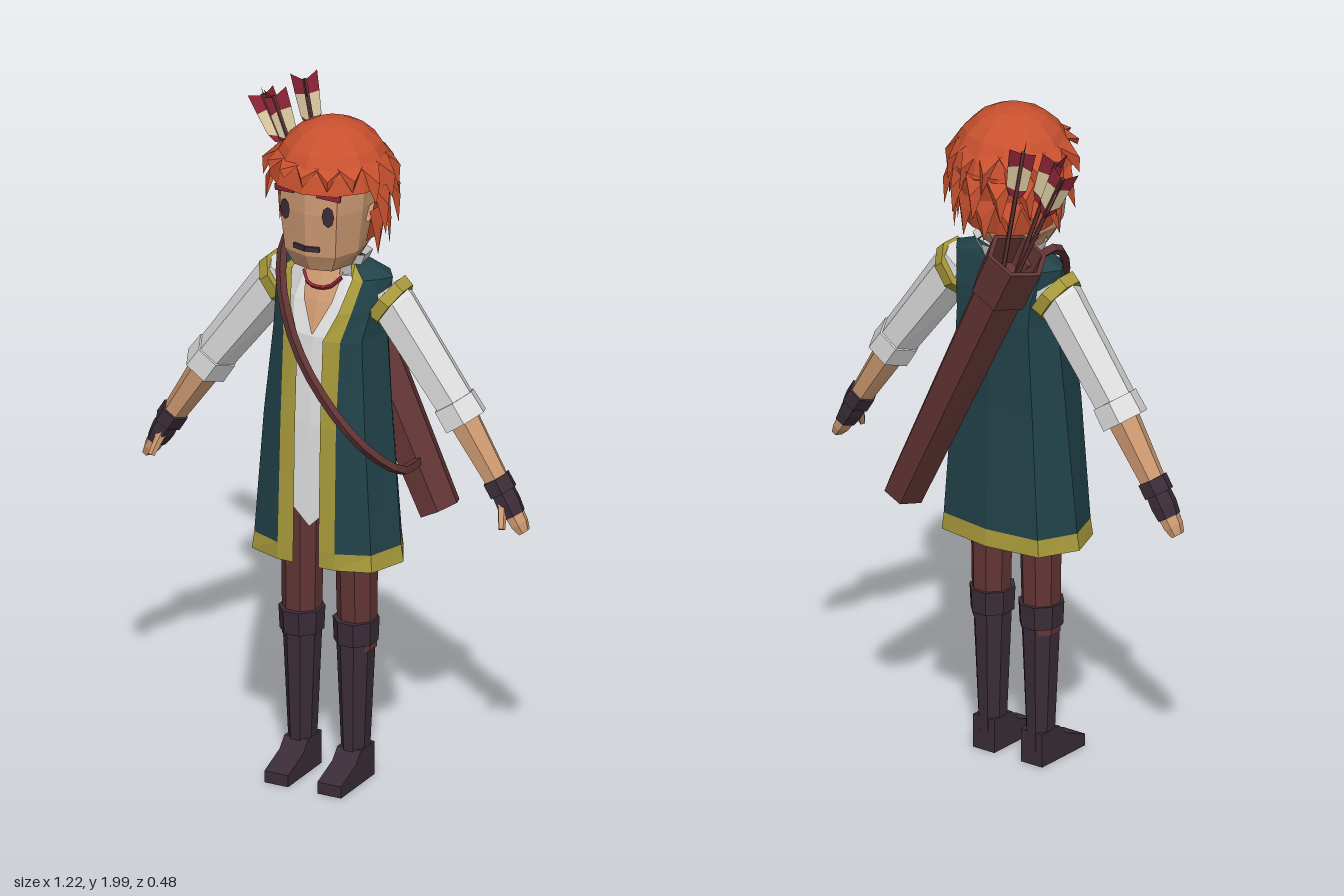
import * as THREE from 'three';

const V = (p) => new THREE.Vector3(...p);
const material = (name, color, double) => {
  const m = new THREE.MeshStandardMaterial({ color });
  m.name = name;
  if (double) m.side = THREE.DoubleSide;
  return m;
};

// faceted geometry from a flat list of triangle corners
function fromCorners(corners) {
  const g = new THREE.BufferGeometry().setFromPoints(corners);
  g.computeVertexNormals();
  return g;
}
const flat = (g) => {
  const f = g.index ? g.toNonIndexed() : g;
  f.computeVertexNormals();
  return f;
};

// skin rings of points together, bottom to top; pick(row, column) selects quads
function loft(rings, { closed = true, cap = true, pick = () => true } = {}) {
  const out = [], n = rings[0].length;
  for (let i = 0; i < rings.length - 1; i++)
    for (let j = 0; j < (closed ? n : n - 1); j++) {
      if (!pick(i, j)) continue;
      const k = (j + 1) % n;
      const [a, b, c, d] = [rings[i][j], rings[i][k], rings[i + 1][k], rings[i + 1][j]];
      out.push(a, b, c, a, c, d);
    }
  if (closed && cap)
    for (const [ring, up] of [[rings[0], false], [rings[rings.length - 1], true]]) {
      const mid = ring.reduce((s, p) => s.add(p), new THREE.Vector3()).divideScalar(n);
      ring.forEach((p, j) => {
        const q = ring[(j + 1) % n];
        out.push(mid, ...(up ? [p, q] : [q, p]));
      });
    }
  return fromCorners(out);
}

// mirror a half cross-section [x, z, y?] running from front to back
function mirrorRing(y, half) {
  const left = half.map(([x, z, yy]) => V([x, yy ?? y, z]));
  const right = left.filter((p) => p.x > 0).reverse().map((p) => V([-p.x, p.y, p.z]));
  return [...left, ...right];
}

// tapered prism from p to q; stations are [t, rx, rz]
function limb(p, q, stations, n = 6, phase = Math.PI / n) {
  const a = V(p), dir = V(q).sub(a), len = dir.length();
  const rings = stations.map(([t, rx, rz = rx]) => Array.from({ length: n }, (_, j) => {
    const ang = phase + (j / n) * Math.PI * 2;
    return V([Math.sin(ang) * rx, t * len, Math.cos(ang) * rz]);
  }));
  const turn = new THREE.Quaternion().setFromUnitVectors(V([0, 1, 0]), dir.normalize());
  return loft(rings).applyQuaternion(turn).translate(...p);
}

export function createModel() {
  const model = new THREE.Group();
  model.name = 'archer';
  const hair = material('copper hair', 0xc9512f, true);
  const skin = material('skin', 0xcd9a72, true);
  const white = material('shirt white', 0xdedede, true);
  const teal = material('vest teal', 0x21434a, true);
  const gold = material('trim gold', 0xa99b3b, true);
  const brown = material('leather brown', 0x633535);
  const dark = material('boot dark', 0x3b2d38);
  const red = material('feather red', 0x8c2436, true);
  const cream = material('feather cream', 0xdccba3, true);
  const add = (name, geo, mat, parent = model) => {
    const m = new THREE.Mesh(geo, mat);
    m.name = name;
    parent.add(m);
    return m;
  };

  // open vest with trimmed edges
  const vestRings = [
    [0.68, [[.04, .2], [.09, .2], [.19, .165], [.23, .05], [.17, -.06], [0, -.085]]],
    [0.73, [[.04, .2], [.09, .199], [.185, .16], [.222, .05], [.165, -.058], [0, -.08]]],
    [1.10, [[.04, .19], [.088, .186], [.16, .15], [.19, .04], [.14, -.05], [0, -.066]]],
    [1.36, [[.04, .175], [.09, .165], [.14, .13], [.168, .03], [.125, -.05], [0, -.065]]],
    [1.44, [[.075, .15], [.11, .138], [.15, .1], [.172, .03], [.13, -.045], [0, -.06]]],
    [1.53, [[.095, .105], [.125, .095], [.16, .065], [.185, .03], [.15, -.02], [0, -.045]]],
    [1.565, [[.08, .08], [.085, .068], [.09, .05], [.09, .03], [.085, 0], [0, -.03]]],
  ].map(([y, h]) => mirrorRing(y, h));
  // the open seam is at the front, so the last column is the right lapel
  const isTrim = (i, j) => i === 0 || j === 0 || j === 9;
  add('vest', loft(vestRings, { closed: false, pick: (i, j) => !isTrim(i, j) }), teal);
  add('vestTrim', loft(vestRings, { closed: false, pick: isTrim }), gold);

  // shirt with pointed tail, collar and open neck
  add('shirt', loft([
    mirrorRing(.85, [[0, .18, .79], [.06, .18], [.15, .14], [.18, .04], [.13, -.04], [0, -.055]]),
    mirrorRing(1.1, [[0, .175], [.06, .172], [.14, .135], [.165, .04], [.12, -.035], [0, -.05]]),
    mirrorRing(1.36, [[0, .158], [.07, .15], [.12, .115], [.15, .03], [.11, -.035], [0, -.05]]),
    mirrorRing(1.45, [[0, .125], [.08, .118], [.13, .08], [.155, .03], [.11, -.03], [0, -.045]]),
    mirrorRing(1.53, [[0, .085], [.06, .085], [.11, .06], [.15, .03], [.1, -.015], [0, -.03]]),
  ]), white);
  const collarRing = (y, r) => Array.from({ length: 8 }, (_, i) => {
    const a = .6 + (i / 7) * (Math.PI * 2 - 1.2);
    return V([Math.sin(a) * r, y + .012 * Math.cos(a), .035 + Math.cos(a) * r * .8]);
  });
  add('collar', loft([collarRing(1.52, .085), collarRing(1.59, .115)], { closed: false }), white);
  const neckRow = (y, x, z, mid) => [V([-x, y, z]), V([0, y, mid]), V([x, y, z])];
  add('chest', loft([neckRow(1.37, .003, .163, .164), neckRow(1.46, .045, .128, .134),
    neckRow(1.55, .06, .082, .092)], { closed: false }), skin);
  add('neck', limb([0, 1.47, .035], [0, 1.63, .045], [[0, .06], [1, .055]], 8), skin);
  const cord = new THREE.CatmullRomCurve3([[-.06, 1.53, .1], [-.03, 1.503, .125], [.03, 1.503, .125], [.06, 1.53, .1]].map(V));
  add('necklace', flat(new THREE.TubeGeometry(cord, 8, .006, 4)), red);

  // head and face
  add('head', loft([
    mirrorRing(1.57, [[0, .175], [.06, .158], [.085, .09], [.07, 0], [0, -.03]]),
    mirrorRing(1.62, [[0, .2], [.08, .175], [.112, .1], [.1, 0], [0, -.06]]),
    mirrorRing(1.75, [[0, .208], [.09, .185], [.127, .1], [.12, -.02], [0, -.08]]),
    mirrorRing(1.85, [[0, .208], [.09, .18], [.13, .09], [.12, -.03], [0, -.1]]),
    mirrorRing(1.91, [[0, .14], [.06, .13], [.09, .08], [.08, 0], [0, -.05]]),
  ]), skin);
  for (const s of [1, -1]) {
    const eye = add('eye', flat(new THREE.CircleGeometry(1, 8)), dark);
    eye.scale.set(.018, .032, 1);
    eye.position.set(s * .068, 1.75, .196);
    const brow = add('eyebrow', new THREE.BoxGeometry(.07, .018, .009), red);
    brow.position.set(s * .07, 1.812, .195);
    brow.rotation.set(0, s * .27, -s * .15);
    const mouth = add('mouth', new THREE.BoxGeometry(.042, .014, .009), dark);
    mouth.position.set(s * .02, 1.645, .2);
    for (const m of [eye, mouth]) m.rotation.y = s * .26;
    add('ear', limb([s * .115, 1.7, .05], [s * .155, 1.77, .02], [[0, .02, .03], [.5, .016, .028], [1, .003]], 4), skin);
  }

  // hair: faceted cap, back shell and rows of pointed locks
  add('hairCap', flat(new THREE.SphereGeometry(1, 12, 5, 0, Math.PI * 2, 0, 1.45).scale(.178, .185, .183))
    .translate(0, 1.795, .043), hair).name = 'hairCap';
  add('hairBack', flat(new THREE.CylinderGeometry(.172, .125, .19, 10, 1, true, 1.3, Math.PI * 2 - 2.6)
    .translate(0, 1.735, .035)), hair);
  const rows = [
    // yTop, rTop, yTip, rTip, locks, phase, furthest-forward cosine
    [1.89, .152, 1.79, .192, 15, 0, 2],
    [1.83, .17, 1.69, .192, 15, .5, .4],
    [1.75, .162, 1.62, .165, 14, .25, .3],
  ];
  const locks = [];
  rows.forEach(([yTop, rTop, yTip, rTip, n, phase, front]) => {
    for (let i = 0; i < n; i++) {
      const a = ((i + phase) / n) * Math.PI * 2, h = (Math.PI / n) * 1.2, c = Math.cos(a);
      if (c > front) continue;
      const vary = Math.sin(i * 12.9 + yTop * 78) * .5;
      const at = (ang, r, y) => V([Math.sin(ang) * r, y, .043 + Math.cos(ang) * r]);
      const tipY = yTip + vary * .035 + (c > .5 ? .045 : 0);
      const tipR = c > .5 ? .183 : rTip + vary * .012;
      const L = at(a - h, rTop, yTop), R = at(a + h, rTop, yTop);
      const T = at(a + vary * .15, tipR, tipY);
      const P = at(a, Math.max(rTop, tipR) + .004, yTop * .55 + tipY * .45);
      locks.push(L, T, P, T, R, P, R, L, P);
    }
  });
  add('hairLocks', fromCorners(locks), hair);

  // arms, legs
  for (const s of [1, -1]) {
    const side = s > 0 ? 'left' : 'right';
    const z = .022;
    const p = (x, y, zz = z) => [s * x, y, zz];
    add(side + 'Sleeve', limb(p(.155, 1.485), p(.405, 1.15), [[0, .06, .06], [.12, .07, .068], [1, .06, .063]]), white);
    add(side + 'Cuff', limb(p(.375, 1.19), p(.413, 1.135), [[0, .066, .072], [1, .068, .074]]), white);
    add(side + 'ArmholeTrim', limb(p(.158, 1.46), p(.187, 1.44), [[0, .085, .082], [1, .08, .076]], 8), gold);
    add(side + 'Forearm', limb(p(.39, 1.165), p(.535, .94), [[0, .05, .05], [1, .033, .036]]), skin);
    add(side + 'WristBand', limb(p(.508, .982), p(.532, .944), [[0, .042, .047], [1, .042, .047]]), dark);
    add(side + 'Glove', limb(p(.528, .95), p(.568, .882), [[0, .034, .04], [.5, .036, .042], [1, .03, .038]]), dark);
    add(side + 'Fingers', limb(p(.56, .895), p(.598, .835), [[0, .027, .035], [.6, .024, .033], [1, .014, .024]]), skin);
    add(side + 'Thumb', limb(p(.54, .915, .045), p(.556, .855, .078), [[0, .015], [1, .01]], 5), skin);

    add(side + 'Leg', limb(p(.088, .4, .06), p(.085, .86, .06), [[0, .055, .055], [1, .063, .066]], 8), brown);
    add(side + 'Boot', limb(p(.084, .02, .062), p(.085, .45, .062), [[0, .039, .045], [.15, .039, .047], [1, .056, .06]], 8), dark);
    add(side + 'BootCuff', limb(p(.086, .42, .063), p(.086, .49, .063), [[0, .062, .067], [1, .065, .071]], 8), dark);
    const sole = new THREE.Shape([[.02, 0], [.218, 0], [.218, .035], [.13, .068], [.1, .1], [.02, .1]]
      .map(([x, y]) => new THREE.Vector2(x, y)));
    const foot = new THREE.ExtrudeGeometry(sole, { depth: .075, bevelEnabled: false });
    add(side + 'Foot', foot.translate(0, 0, -.0375).rotateY(-Math.PI / 2).translate(s * .084, 0, 0), dark);
  }

  // quiver with hollow rim, and its strap
  add('quiver', limb([.262, .79, -.105], [-.168, 1.635, -.155], [[0, .06, .072], [.85, .076, .084],
    [.85, .086, .092], [1, .09, .094], [1, .075, .079], [.9, .07, .075]]), brown);
  const strap = new THREE.CatmullRomCurve3([[-.15, 1.58, -.1], [-.15, 1.585, .04], [-.1, 1.48, .155], [0, 1.3, .215],
    [.16, 1.1, .21], [.235, .975, .09], [.215, .94, -.06]].map(V));
  add('strap', flat(new THREE.TubeGeometry(strap, 18, .015, 4)), brown);

  // arrows with three-vaned fletching
  const vane = (pts) => new THREE.ShapeGeometry(new THREE.Shape(pts.map((q) => new THREE.Vector2(...q))));
  const creamVane = vane([[0, -.145], [.034, -.125], [.04, -.06], [0, -.06]]);
  const redVane = vane([[0, -.06], [.04, -.06], [.044, 0], [0, -.02]]);
  const redTail = vane([[0, -.17], [.022, -.152], [.034, -.125], [0, -.145]]);
  [
    [[-.13, 1.5, -.155], [-.335, 1.925, -.155]],
    [[-.12, 1.5, -.13], [-.28, 1.945, -.115]],
    [[-.11, 1.5, -.165], [-.215, 1.985, -.185]],
  ].forEach(([from, to], i) => {
    add('arrowShaft', limb(from, to, [[0, .007], [.97, .007]], 5), brown);
    const fletching = new THREE.Group();
    fletching.name = 'fletching';
    fletching.position.set(...to);
    fletching.quaternion.setFromUnitVectors(V([0, 1, 0]), V(to).sub(V(from)).normalize());
    for (let k = 0; k < 3; k++)
      for (const [name, g, m] of [['creamVane', creamVane, cream], ['redVane', redVane, red], ['redVaneTail', redTail, red]])
        add(name, g, m, fletching).rotation.y = i * .5 + (k * Math.PI * 2) / 3;
    model.add(fletching);
  });
  return model;
}
